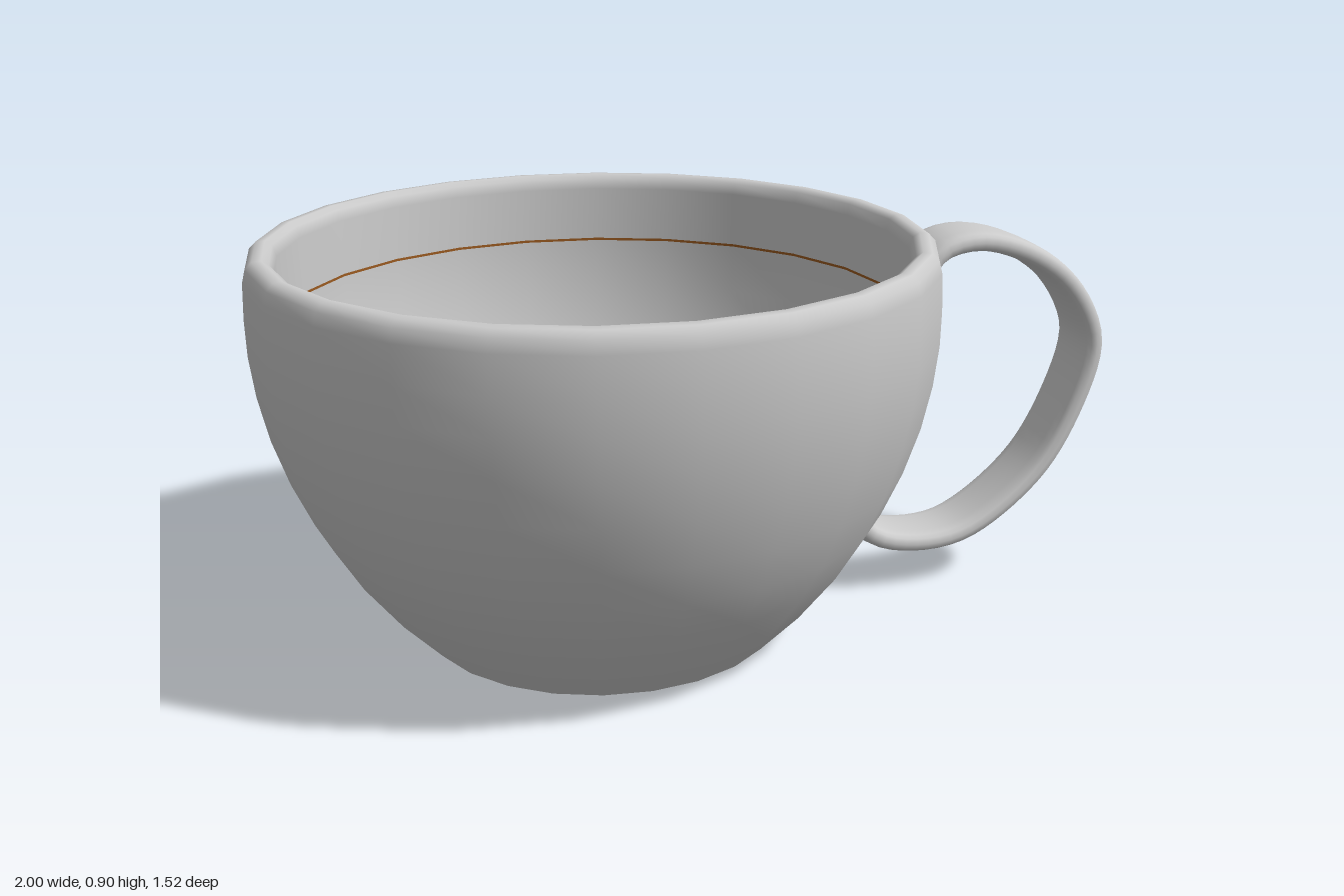
import * as THREE from 'three';

const SIDES = 24;
const CUP_X = -0.24;

const grey = new THREE.MeshStandardMaterial({ color: 0xcccccc, side: THREE.DoubleSide });
const brown = new THREE.MeshStandardMaterial({ color: 0x9a5a20, side: THREE.DoubleSide });

const v2 = ([x, y]) => new THREE.Vector2(x, y);

function lathe(name, profile, material = grey) {
  const mesh = new THREE.Mesh(new THREE.LatheGeometry(profile.map(v2), SIDES), material);
  mesh.name = name;
  mesh.position.x = CUP_X;
  return mesh;
}

// Sweeps a rounded flat section along a path lying in the xy plane
function strap(path, width, thickness, steps, around) {
  const curve = new THREE.CatmullRomCurve3(path.map(([x, y]) => new THREE.Vector3(x, y, 0)));
  const round = (c) => Math.sign(c) * Math.pow(Math.abs(c), 0.6);
  const positions = [], indices = [];
  for (let i = 0; i <= steps; i++) {
    const p = curve.getPointAt(i / steps);
    const t = curve.getTangentAt(i / steps);
    for (let j = 0; j < around; j++) {
      const a = (j / around) * Math.PI * 2;
      const n = round(Math.cos(a)) * thickness / 2;
      const z = round(Math.sin(a)) * width / 2;
      positions.push(p.x - t.y * n, p.y + t.x * n, z);
      if (i < steps) {
        const k = (j + 1) % around;
        const A = i * around + j, B = i * around + k;
        indices.push(A, B, A + around, B, B + around, A + around);
      }
    }
  }
  // End caps
  const last = steps * around;
  for (let j = 1; j < around - 1; j++) {
    indices.push(0, j + 1, j, last, last + j, last + j + 1);
  }
  const g = new THREE.BufferGeometry();
  g.setAttribute('position', new THREE.Float32BufferAttribute(positions, 3));
  g.setIndex(indices);
  g.computeVertexNormals();
  return g;
}

export function createModel() {
  const model = new THREE.Group();
  model.name = 'cup';

  // Bowl: outer wall, rounded rim, inner wall and floor
  model.add(lathe('bowl', [
    [0.41, 0], [0.5, 0.095], [0.585, 0.205], [0.645, 0.305], [0.69, 0.405],
    [0.725, 0.51], [0.747, 0.61], [0.758, 0.7], [0.76, 0.78], [0.757, 0.86],
    [0.75, 0.888], [0.735, 0.903], [0.715, 0.905], [0.7, 0.895], [0.692, 0.87],
    [0.694, 0.74], [0.684, 0.62], [0.66, 0.5], [0.62, 0.38], [0.565, 0.27],
    [0.5, 0.17], [0.44, 0.1], [0.39, 0.065], [0.32, 0.06], [0, 0.06],
  ]));

  // Foot: flat ring around a shallow recess
  model.add(lathe('footRing', [[0.38, 0], [0.41, 0]]));
  model.add(lathe('recessWall', [[0.375, 0.03], [0.38, 0]]));
  model.add(lathe('recessBase', [[0, 0.03], [0.375, 0.03]]));

  // Thin coloured line inside the bowl
  model.add(lathe('innerLine', [[0.692, 0.742], [0.692, 0.736]], brown));

  // Handle: flat loop with both ends curling into the bowl
  const handle = new THREE.Mesh(strap([
    [0.515, 0.68], [0.52, 0.77], [0.56, 0.825], [0.65, 0.845], [0.77, 0.815],
    [0.88, 0.745], [0.95, 0.65], [0.972, 0.57], [0.935, 0.43], [0.84, 0.265],
    [0.67, 0.135], [0.56, 0.112], [0.43, 0.135], [0.375, 0.185], [0.385, 0.25],
  ], 0.165, 0.05, 56, 16), grey);
  handle.name = 'handle';
  handle.position.z = 0.015;
  model.add(handle);

  return model;
}
